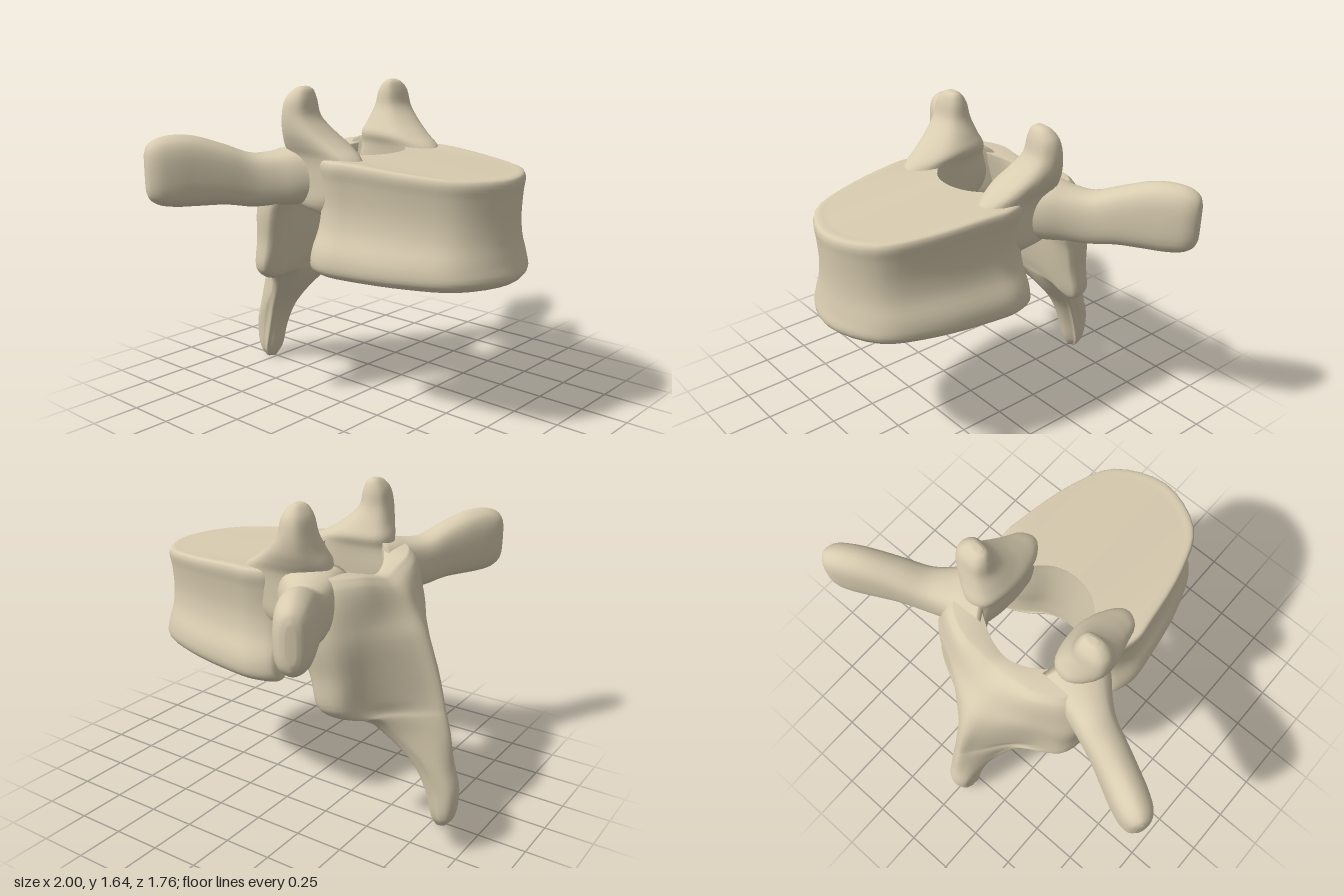
import * as THREE from 'three';

const mix = (a, b, t) => a + (b - a) * t;
const V = (x, y, z) => new THREE.Vector3(x, y, z);

// Smooth skin through closed control rings; each ring starts at a tip so that
// point i faces point N-i, which lets the end caps be simple strips.
function loft(rings, around = 4, along = 4) {
  const n = rings[0].length * around;
  const fine = rings.map((ring) => {
    const c = new THREE.CatmullRomCurve3(ring, true);
    return Array.from({ length: n }, (_, i) => c.getPoint(i / n));
  });
  const rows = (rings.length - 1) * along + 1;
  const columns = Array.from({ length: n }, (_, i) =>
    new THREE.CatmullRomCurve3(fine.map((r) => r[i])));
  const pos = [], idx = [];
  for (let r = 0; r < rows; r++) {
    for (let i = 0; i < n; i++) pos.push(...columns[i].getPoint(r / (rows - 1)).toArray());
  }
  for (let r = 0; r < rows - 1; r++) {
    for (let i = 0; i < n; i++) {
      const a = r * n + i, b = r * n + (i + 1) % n;
      idx.push(a, b, b + n, a, b + n, a + n);
    }
  }
  const cap = (o, flip) => {
    const tri = (a, b, c) => (flip ? idx.push(o + a, o + c, o + b) : idx.push(o + a, o + b, o + c));
    for (let i = 0; i < n / 2; i++) {
      const a = i, b = i + 1, c = n - i - 1, d = (n - i) % n;
      if (b !== c) tri(a, b, c);
      if (d !== a) tri(a, c, d);
    }
  };
  cap(0, true);
  cap((rows - 1) * n, false);

  // Turn the faces outward if the enclosed volume is negative
  const p = (i) => V(pos[3 * i], pos[3 * i + 1], pos[3 * i + 2]);
  let volume = 0;
  for (let k = 0; k < idx.length; k += 3) volume += p(idx[k]).dot(p(idx[k + 1]).cross(p(idx[k + 2])));
  if (volume < 0) idx.reverse();

  const g = new THREE.BufferGeometry();
  g.setAttribute('position', new THREE.Float32BufferAttribute(pos, 3));
  g.setIndex(idx);
  g.computeVertexNormals();
  return g;
}

// Full ring from a right tip, outer half and inner half (each ending on the midline)
function mirroredRing(tip, outer, inner, toPoint) {
  const neg = ([x, z]) => [-x, z];
  const o = outer.slice(0, -1), n = inner.slice(0, -1);
  return [
    tip, ...outer, ...o.map(neg).reverse(),
    neg(tip), ...n.map(neg), inner.at(-1), ...[...n].reverse(),
  ].map(([x, z]) => toPoint(x, z));
}

// Rounded oval ring of eight points in the plane of two axes
function ovalRing(centre, u, v, square = 0.76) {
  return Array.from({ length: 8 }, (_, i) => {
    const a = (i * Math.PI) / 4, k = i % 2 ? square / Math.SQRT1_2 : 1;
    return centre.clone().addScaledVector(u, Math.cos(a) * k).addScaledVector(v, Math.sin(a) * k);
  });
}

// Drum-like body with a waist, flared rims and a hollow back
function bodyGeometry() {
  const outer = [[0.445, 0.22], [0.385, 0.54], [0.275, 0.77], [0, 0.88]];
  const inner = [[0.4, -0.055], [0.27, -0.01], [0.14, 0.08], [0, 0.11]];
  // height, width scale, depth scale, rise towards the back
  const levels = [
    [0.745, 0.8, 0.85, -0.01], [0.75, 0.92, 0.95, -0.015], [0.79, 1, 1, -0.02], [0.86, 1, 0.985, -0.01],
    [0.96, 0.9, 0.965, 0], [1.06, 0.87, 0.96, 0.01], [1.17, 0.9, 0.965, 0.03],
    [1.23, 0.93, 0.97, 0.04], [1.255, 0.91, 0.955, 0.045], [1.26, 0.82, 0.88, 0.045],
  ];
  return loft(levels.map(([y, sx, sz, rise]) => mirroredRing([0.455, 0.06], outer, inner, (x, z) => {
    const back = Math.min(1, Math.max(0, (0.85 - z) / 0.65));
    return V(x * sx, y + rise * back, 0.1 + (z - 0.1) * sz + 0.08 * Math.max(0, y - 0.8) * (z < 0.2 ? 1 : 0));
  })));
}

// Rear arch, lower joint plates and the long drooping spine in one skin
function archGeometry() {
  // height, half width, tip z, inner z, flank x, flank z, ridge half width, ridge z
  const levels = [
    [0.0, 0.035, -0.785, -0.77, 0.03, -0.81, 0.02, -0.825],
    [0.05, 0.065, -0.77, -0.74, 0.06, -0.81, 0.04, -0.86],
    [0.2, 0.075, -0.73, -0.7, 0.07, -0.79, 0.055, -0.875],
    [0.34, 0.1, -0.67, -0.64, 0.09, -0.74, 0.06, -0.84],
    [0.5, 0.175, -0.55, -0.52, 0.13, -0.64, 0.06, -0.815],
    [0.6, 0.26, -0.46, -0.46, 0.17, -0.59, 0.06, -0.79],
    [0.635, 0.39, -0.38, -0.45, 0.2, -0.55, 0.06, -0.78],
    [0.7, 0.465, -0.335, -0.43, 0.25, -0.52, 0.065, -0.765],
    [0.85, 0.47, -0.295, -0.4, 0.27, -0.51, 0.08, -0.72],
    [1.0, 0.49, -0.25, -0.38, 0.28, -0.5, 0.1, -0.65],
    [1.1, 0.49, -0.21, -0.37, 0.28, -0.48, 0.11, -0.57],
    [1.2, 0.44, -0.2, -0.36, 0.25, -0.45, 0.11, -0.49],
    [1.25, 0.39, -0.22, -0.365, 0.22, -0.41, 0.1, -0.42],
  ];
  return loft(levels.map(([y, w, zt, zi, fx, fz, bw, zb]) => mirroredRing(
    [w * 0.96, zt],
    [[w * 0.9, mix(zt, fz, 0.6)], [fx, fz], [bw, mix(fz, zb, 0.72)], [0, zb]],
    [[w * 0.74, mix(zt, zi, 0.1)], [w * 0.52, mix(zt, zi, 0.5)], [w * 0.25, mix(zt, zi, 0.88)], [0, zi]],
    (x, z) => V(x, y + (y > 1.15 ? Math.min(0.065, Math.abs(x) * 0.25) : 0), z),
  )));
}

// Bridge from body to arch, rising into the upper joint horn
function pedicleGeometry(s) {
  // height, centre x, centre z, half width, half depth
  const levels = [
    [1.02, 0.3, 0.0, 0.05, 0.06], [1.075, 0.3, -0.08, 0.085, 0.18], [1.18, 0.295, -0.06, 0.095, 0.29],
    [1.3, 0.295, -0.06, 0.105, 0.235], [1.36, 0.3, -0.1, 0.125, 0.185], [1.42, 0.325, -0.13, 0.12, 0.13],
    [1.5, 0.35, -0.155, 0.1, 0.08],
    [1.58, 0.35, -0.155, 0.085, 0.06], [1.625, 0.34, -0.15, 0.055, 0.035], [1.64, 0.335, -0.15, 0.025, 0.015],
  ];
  return loft(levels.map(([y, x, z, rx, rz]) =>
    ovalRing(V(s * x, y, z), V(s * rx, 0, rz * 0.15), V(s * rx * -0.1, 0, rz))));
}

// Side wing flaring from the arch, sweeping out and back to a broad rounded end
function wingGeometry(s) {
  // centre x, y, z, half height, half thickness
  const sections = [
    [0.27, 1.2, -0.19, 0.15, 0.18], [0.36, 1.195, -0.235, 0.145, 0.15], [0.44, 1.187, -0.28, 0.135, 0.12],
    [0.53, 1.185, -0.33, 0.135, 0.1],
    [0.65, 1.22, -0.39, 0.15, 0.092], [0.78, 1.245, -0.46, 0.172, 0.09], [0.87, 1.25, -0.508, 0.174, 0.088],
    [0.935, 1.25, -0.543, 0.16, 0.077], [0.972, 1.25, -0.565, 0.13, 0.052], [0.985, 1.25, -0.572, 0.09, 0.02],
  ];
  return loft(sections.map(([x, y, z, ry, rt]) =>
    ovalRing(V(s * x, y, z), V(0, ry, 0), V(s * 0.5 * rt, 0, 0.87 * rt), 0.77)));
}

export function createModel() {
  const group = new THREE.Group();
  group.name = 'vertebra';
  const bone = new THREE.MeshStandardMaterial({ color: 0xd8ccb0 });
  bone.name = 'bone';
  const add = (name, geometry) => {
    const mesh = new THREE.Mesh(geometry, bone);
    mesh.name = name;
    group.add(mesh);
  };
  add('body', bodyGeometry());
  add('archAndSpine', archGeometry());
  for (const [side, s] of [['left', 1], ['right', -1]]) {
    add(side + 'PedicleAndHorn', pedicleGeometry(s));
    add(side + 'Wing', wingGeometry(s));
  }
  return group;
}
